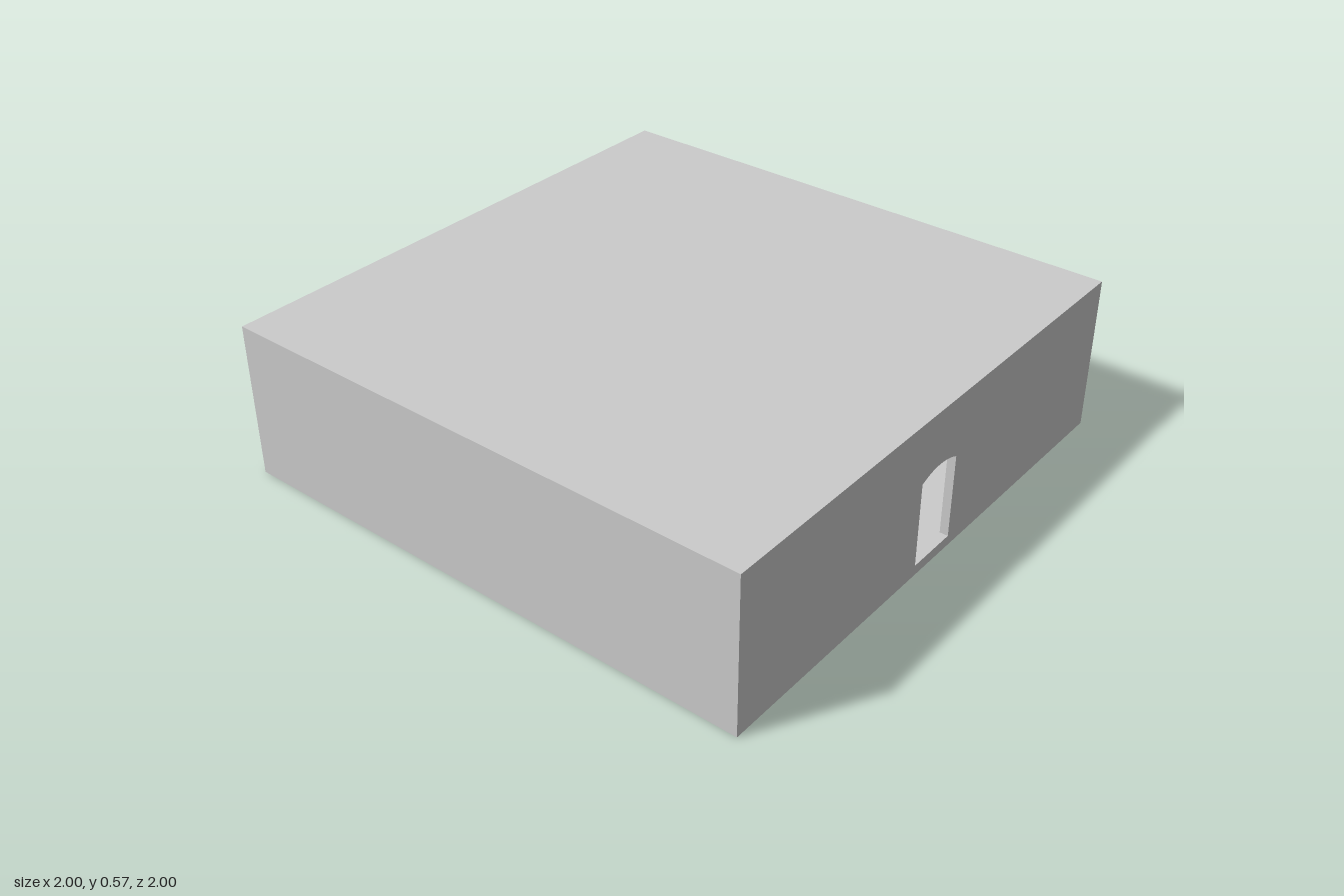
import * as THREE from 'three';

const W = 2, D = 2, H = 0.567;   // overall size
const WALL = 0.03;               // wall thickness
const SLAB = 0.037;              // floor and roof thickness
const DOOR = { half: 0.097, spring: 0.343, crown: 0.365 };

function rectangle(Type, x, y0, y1) {
  const s = new Type();
  s.moveTo(-x, y0);
  s.lineTo(x, y0);
  s.lineTo(x, y1);
  s.lineTo(-x, y1);
  s.closePath();
  return s;
}

// Doorway outline with a shallow segmental arch
function doorway() {
  const { half, spring, crown } = DOOR;
  const rise = crown - spring;
  const radius = (half * half + rise * rise) / (2 * rise);
  const angle = Math.asin(half / radius);
  const p = new THREE.Path();
  p.moveTo(-half, SLAB);
  p.lineTo(half, SLAB);
  p.lineTo(half, spring);
  p.absarc(0, crown - radius, radius, Math.PI / 2 - angle, Math.PI / 2 + angle, false);
  p.closePath();
  return p;
}

export function createModel() {
  const group = new THREE.Group();
  group.name = 'room';
  const material = new THREE.MeshStandardMaterial({ color: 0xcccccc, flatShading: true });

  function extrude(name, shape, hole, depth, z) {
    shape.holes.push(hole);
    const geometry = new THREE.ExtrudeGeometry(shape, { depth, bevelEnabled: false, curveSegments: 8 });
    const mesh = new THREE.Mesh(geometry, material);
    mesh.name = name;
    mesh.position.z = z;
    group.add(mesh);
  }

  // Floor, roof and side walls as one hollow sleeve
  extrude('floorRoofAndSideWalls',
    rectangle(THREE.Shape, W / 2, 0, H),
    rectangle(THREE.Path, W / 2 - WALL, SLAB, H - SLAB),
    D - 2 * WALL, -D / 2 + WALL);

  // End walls, each with an arched doorway
  for (const [name, z] of [['frontWall', D / 2 - WALL], ['backWall', -D / 2]]) {
    extrude(name, rectangle(THREE.Shape, W / 2, 0, H), doorway(), WALL, z);
  }
  return group;
}
